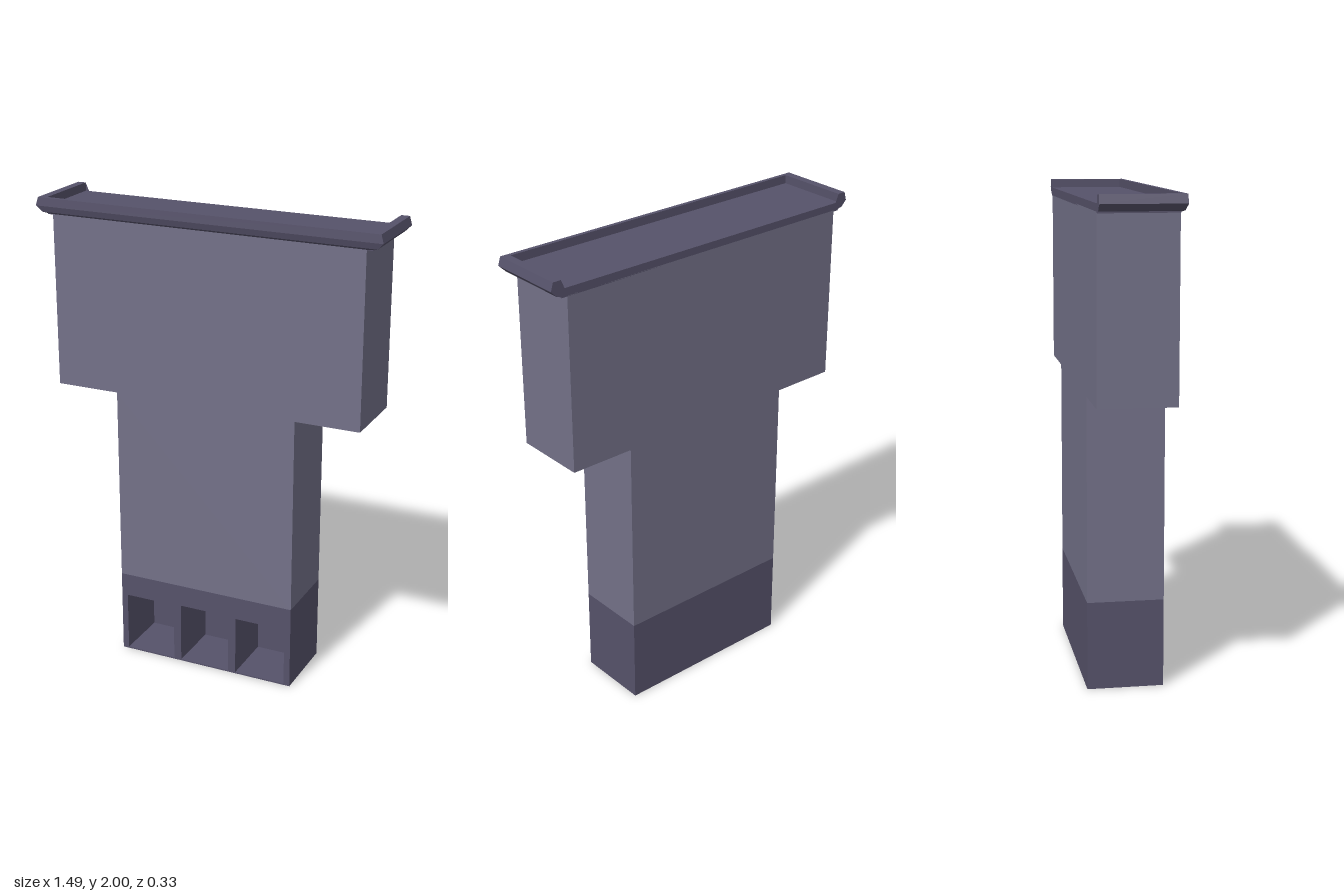
import * as THREE from 'three';

const BACK = -0.164, FRONT = 0.148;

function createTrim() {
  // Moulding section: half width, height, front reach
  const section = [
    [0.67, 1.93, 0.145], [0.72, 1.94, 0.156], [0.745, 1.965, 0.164],
    [0.735, 2.0, 0.162], [0.70, 2.0, 0.145], [0.70, 1.965, 0.145],
  ];
  // Mitred run: back right corner, front, back left corner
  const run = [[-1, false], [-1, true], [1, true], [1, false]];
  const rings = run.map(([side, front]) =>
    section.map(([x, y, z]) => [side * x, y, front ? z : BACK]));
  const pos = [];
  const n = section.length;
  for (let i = 0; i < 3; i++) {
    for (let j = 0; j < n; j++) {
      const k = (j + 1) % n;
      const a = rings[i][j], b = rings[i + 1][j], c = rings[i + 1][k], d = rings[i][k];
      pos.push(...a, ...b, ...c, ...a, ...c, ...d);
    }
  }
  // End caps at the back
  for (let j = 1; j < n - 1; j++) {
    const s = rings[0], e = rings[3];
    pos.push(...s[0], ...s[j], ...s[j + 1], ...e[0], ...e[j + 1], ...e[j]);
  }
  const geo = new THREE.BufferGeometry();
  geo.setAttribute('position', new THREE.Float32BufferAttribute(pos, 3));
  geo.computeVertexNormals();
  return geo;
}

function rectangle(target, x0, y0, x1, y1) {
  target.moveTo(x0, y0).lineTo(x1, y0).lineTo(x1, y1).lineTo(x0, y1).closePath();
  return target;
}

export function createModel() {
  const model = new THREE.Group();
  const wall = new THREE.MeshStandardMaterial({ color: 0x737188, flatShading: true });
  const dark = new THREE.MeshStandardMaterial({ color: 0x56526a, flatShading: true });

  const add = (name, geo, mat) => {
    const mesh = new THREE.Mesh(geo, mat);
    mesh.name = name;
    model.add(mesh);
    return mesh;
  };
  const block = (name, halfW, y0, y1, z0, z1, mat) =>
    add(name, new THREE.BoxGeometry(halfW * 2, y1 - y0, z1 - z0), mat)
      .position.set(0, (y0 + y1) / 2, (z0 + z1) / 2);

  // T-shaped walls
  const walls = new THREE.Shape();
  walls.moveTo(-0.4, 0.365).lineTo(0.4, 0.365).lineTo(0.4, 1.205).lineTo(0.675, 1.205)
    .lineTo(0.675, 1.935).lineTo(-0.675, 1.935).lineTo(-0.675, 1.205).lineTo(-0.4, 1.205).closePath();
  add('walls', new THREE.ExtrudeGeometry(walls, { depth: FRONT - BACK, bevelEnabled: false }), wall)
    .position.z = BACK;

  // Ground floor with three deep openings
  const nicheBack = -0.095;
  const front = rectangle(new THREE.Shape(), -0.4, 0, 0.4, 0.365);
  for (const x of [-0.26, 0, 0.26]) {
    front.holes.push(rectangle(new THREE.Path(), x - 0.113, 0.006, x + 0.113, x === 0 ? 0.27 : 0.265));
  }
  add('groundFloorFront', new THREE.ExtrudeGeometry(front, { depth: FRONT - nicheBack, bevelEnabled: false }), dark)
    .position.z = nicheBack;
  block('groundFloorBack', 0.4, 0, 0.365, BACK, nicheBack, dark);

  // Roof deck and its raised moulding, open at the back
  block('roofDeck', 0.70, 1.93, 1.965, BACK, 0.145, dark);
  add('roofTrim', createTrim(), dark);

  return model;
}
